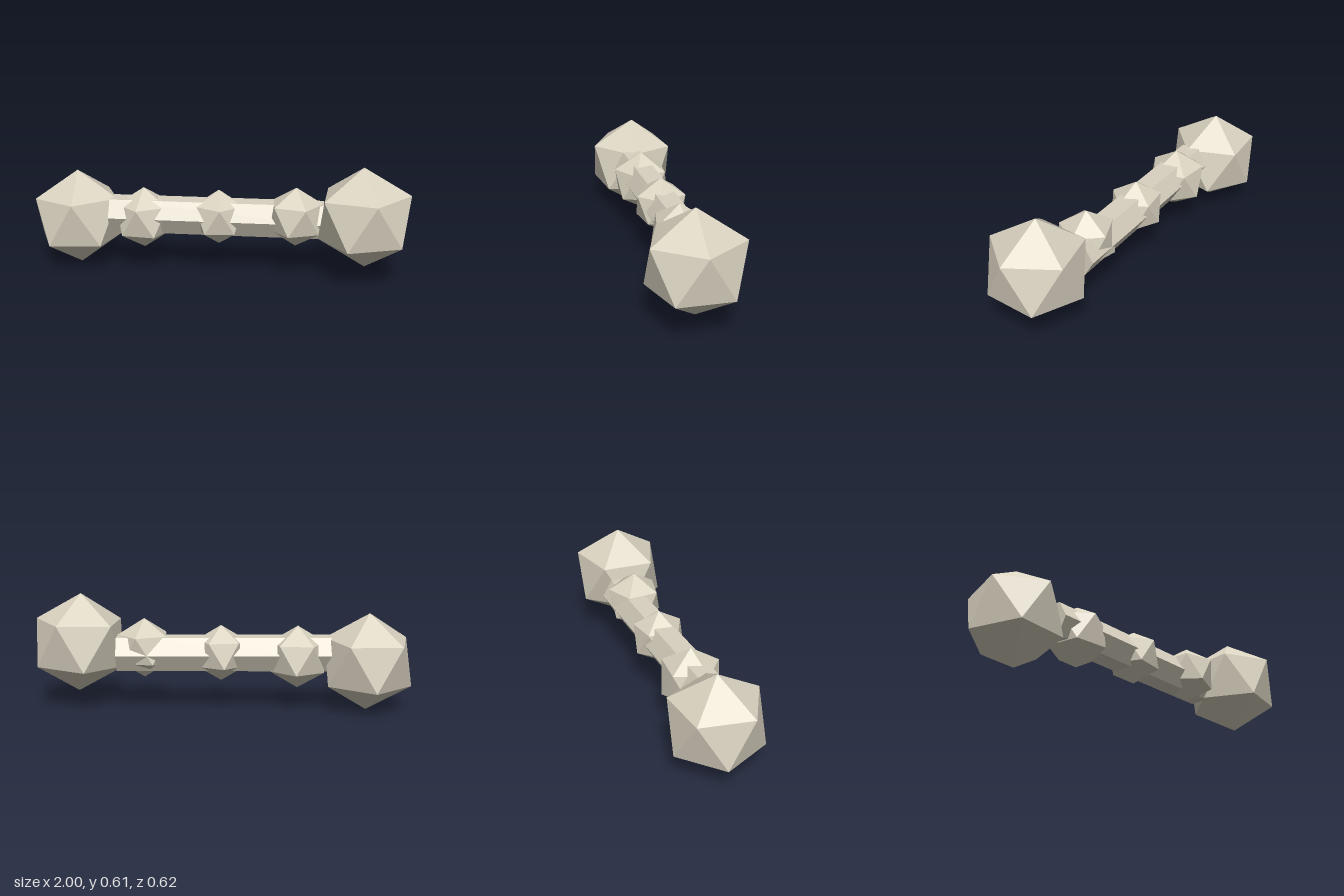
import * as THREE from 'three';
import { ConvexGeometry } from 'three/addons/geometries/ConvexGeometry.js';

const deg = THREE.MathUtils.degToRad;

// Icosahedron standing on a point; turn is the angle of its upper ring from +x towards +z
function icosahedron(radius, turn) {
  const pts = [new THREE.Vector3(0, radius, 0), new THREE.Vector3(0, -radius, 0)];
  const h = radius / Math.sqrt(5);
  for (let i = 0; i < 10; i++) {
    const a = deg(turn + i * 36);
    pts.push(new THREE.Vector3(2 * h * Math.cos(a), i % 2 ? -h : h, 2 * h * Math.sin(a)));
  }
  return new ConvexGeometry(pts);
}

export function createModel() {
  const group = new THREE.Group();
  const bone = new THREE.MeshStandardMaterial({ color: 0xd9d2c0, flatShading: true });

  function add(name, geometry, position) {
    const mesh = new THREE.Mesh(geometry, bone);
    mesh.name = name;
    mesh.position.set(...position);
    group.add(mesh);
    return mesh;
  }

  // Six-sided shaft, flat on top, running slightly askew
  const shaft = new THREE.CylinderGeometry(0.104, 0.104, 1.14, 6);
  shaft.rotateZ(Math.PI / 2);
  shaft.rotateY(0.18);
  add('shaft', shaft, [0, 0.3, 0]);

  // Large knobs at the ends
  const rightKnob = add('rightKnob', icosahedron(0.261, 3), [-0.758, 0.261, 0.092]);
  rightKnob.rotation.set(deg(-1.5), 0, deg(1));
  const leftKnob = add('leftKnob', icosahedron(0.268, -6), [0.78, 0.343, -0.068]);
  leftKnob.rotation.z = deg(2.5);

  // Small knuckles along the shaft: radius, turn, position
  const knuckles = [
    [0.168, 14, [-0.388, 0.28, 0.065]],
    [0.15, 0, [0.015, 0.3, 0]],
    [0.16, -14, [0.425, 0.322, -0.045]],
  ];
  knuckles.forEach(([r, turn, pos], i) => add('knuckle' + (i + 1), icosahedron(r, turn), pos));

  return group;
}
